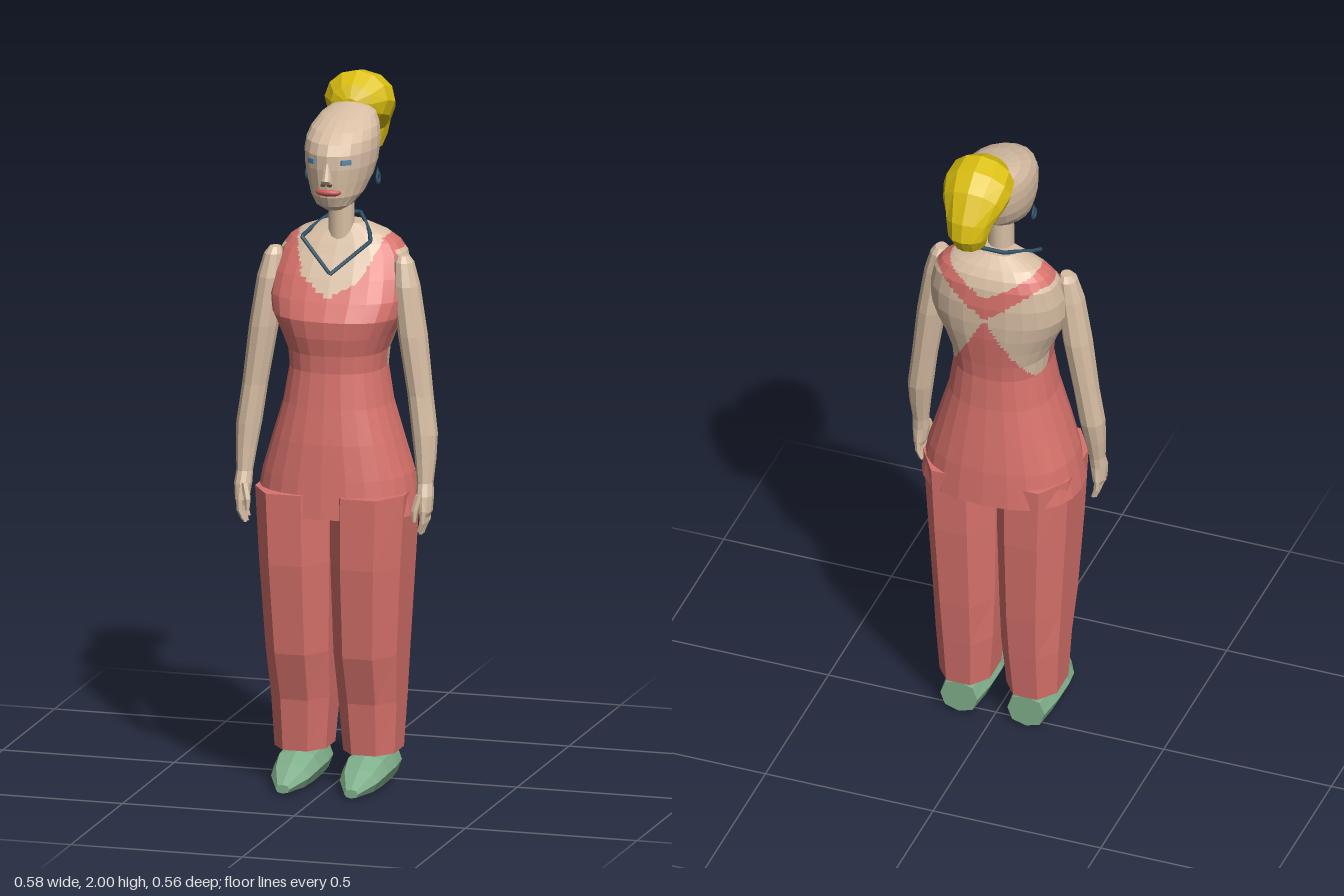
import * as THREE from 'three';

const mat = (name, color) => {
  const m = new THREE.MeshStandardMaterial({ color });
  m.name = name;
  return m;
};

// Lofts a faceted skin through rings [centreX, halfWidth, frontZ, frontY, backZ, backY].
// power < 1 squares the section; sub splits facets so pick(point) can colour them.
function loft(rings, { n = 12, power = 1, offset = 0, sub = 1, pick = () => 0 } = {}) {
  const shape = (v) => Math.sign(v) * Math.abs(v) ** power;
  const fit = shape(Math.cos((2 * Math.PI * offset) / n));
  const corners = rings.map(([cx, w, fz, fy, bz, by]) => {
    const row = [];
    for (let i = 0; i <= n; i++) {
      const a = (2 * Math.PI * ((i % n) + offset)) / n;
      const c = shape(Math.cos(a)) / fit, s = shape(Math.sin(a)) / fit;
      row.push(new THREE.Vector3(cx + w * s, (fy + by + c * (fy - by)) / 2, (fz + bz + c * (fz - bz)) / 2));
    }
    return row;
  });
  const point = (u, v) => {
    const i = Math.min(Math.floor(u), n - 1), j = Math.min(Math.floor(v), rings.length - 2);
    const low = corners[j][i].clone().lerp(corners[j][i + 1], u - i);
    const high = corners[j + 1][i].clone().lerp(corners[j + 1][i + 1], u - i);
    return low.lerp(high, v - j);
  };
  const tris = [];
  const U = n * sub, V = (rings.length - 1) * sub;
  for (let j = 0; j < V; j++) {
    for (let i = 0; i < U; i++) {
      const a = point(i / sub, j / sub), b = point((i + 1) / sub, j / sub);
      const c = point((i + 1) / sub, (j + 1) / sub), d = point(i / sub, (j + 1) / sub);
      tris.push([a, b, c], [a, c, d]);
    }
  }
  // end caps
  [corners[0], corners[rings.length - 1]].forEach((row, end) => {
    const mid = new THREE.Vector3();
    for (let i = 0; i < n; i++) mid.addScaledVector(row[i], 1 / n);
    for (let i = 0; i < n; i++) tris.push(end ? [row[i], row[i + 1], mid] : [row[i + 1], row[i], mid]);
  });
  // turn all faces outward
  let volume = 0;
  const q = new THREE.Vector3();
  for (const [a, b, c] of tris) volume += a.dot(q.crossVectors(b, c));
  const buckets = [[], []];
  for (const [a, b, c] of tris) {
    const mid = a.clone().add(b).add(c).divideScalar(3);
    const order = volume < 0 ? [a, c, b] : [a, b, c];
    for (const p of order) buckets[pick(mid)].push(p.x, p.y, p.z);
  }
  const geo = new THREE.BufferGeometry();
  geo.setAttribute('position', new THREE.Float32BufferAttribute(buckets.flat(), 3));
  geo.addGroup(0, buckets[0].length / 3, 0);
  geo.addGroup(buckets[0].length / 3, buckets[1].length / 3, 1);
  geo.computeVertexNormals();
  return geo;
}

// level ring helper: height, half width, front z, back z
const level = (y, w, f, b, x = 0) => [x, w, f, y, b, y];

// Where the halter top leaves the skin bare (1) or covers it (0)
function topPattern({ x, y, z }) {
  const ax = Math.abs(x);
  if (y < 1.2) return 0;
  if (z > 0.05) {
    const neckline = ax < 0.085 ? 1.41 + 0.6 * ax : 1.46 + (ax - 0.085) * 2.4;
    return y > neckline ? 1 : 0;
  }
  const lowerBack = Math.max(1.2, 1.42 - 1.8 * ax);
  const strapLow = Math.min(1.53, 1.42 + 0.75 * ax);
  const strapHigh = 1.49 + 0.6 * ax;
  return (y > lowerBack && y < strapLow) || y > strapHigh ? 1 : 0;
}

export function createModel() {
  const skin = mat('skin', 0xd8bea4), cloth = mat('coral cloth', 0xd8726c);
  const hair = mat('blonde hair', 0xdcc010), shoe = mat('green shoe', 0x80b08c);
  const jewel = mat('blue jewellery', 0x2f5268), lip = mat('lips', 0xc75a58);
  const iris = mat('blue eye', 0x5c86a8), dark = mat('nostril', 0x5c4336);
  const model = new THREE.Group();
  model.name = 'woman';
  const add = (name, geo, material) => {
    const mesh = new THREE.Mesh(geo, material);
    mesh.name = name;
    model.add(mesh);
    return mesh;
  };

  // torso and tunic
  add('torso', loft([
    level(0.79, 0.232, 0.243, -0.111), level(0.9, 0.212, 0.235, -0.104), level(1.0, 0.182, 0.227, -0.092),
    level(1.1, 0.152, 0.213, -0.08), level(1.2, 0.135, 0.2, -0.075), level(1.25, 0.14, 0.202, -0.08),
    level(1.3, 0.16, 0.212, -0.087), level(1.35, 0.185, 0.215, -0.094), level(1.4, 0.199, 0.188, -0.098),
    level(1.46, 0.195, 0.15, -0.099), level(1.52, 0.18, 0.105, -0.092), level(1.55, 0.158, 0.085, -0.08),
    level(1.573, 0.125, 0.068, -0.062), level(1.6, 0.06, 0.05, -0.03),
  ], { n: 24, power: 0.84, sub: 5, pick: topPattern }), [cloth, skin]);

  // neck and head
  const neck = add('neck', new THREE.CylinderGeometry(0.036, 0.038, 0.2, 12), skin);
  neck.position.set(0, 1.63, 0.041);
  add('head', loft([
    level(1.656, 0.025, 0.14, 0.085), level(1.672, 0.052, 0.165, 0.045), level(1.7, 0.073, 0.178, -0.025),
    level(1.74, 0.088, 0.182, -0.08), level(1.78, 0.098, 0.185, -0.105), level(1.82, 0.101, 0.184, -0.12),
    level(1.85, 0.099, 0.168, -0.125), level(1.875, 0.092, 0.13, -0.125), level(1.9, 0.076, 0.07, -0.122),
    level(1.917, 0.052, 0.01, -0.112), level(1.927, 0.02, -0.035, -0.09),
  ], { n: 20 }), [skin, skin]);

  // nose and mouth
  add('nose', loft([
    level(1.8, 0.006, 0.187, 0.165), level(1.753, 0.015, 0.207, 0.165), level(1.74, 0.018, 0.192, 0.165),
  ], { n: 8 }), [skin, skin]);
  const mouth = add('lips', new THREE.SphereGeometry(1, 12, 8), lip);
  mouth.scale.set(0.038, 0.012, 0.019);
  mouth.position.set(0, 1.715, 0.168);

  // bun with hanging tail
  add('hair', loft([
    [0, 0.02, -0.04, 1.935, -0.04, 1.905], [0, 0.062, -0.06, 1.97, -0.055, 1.87],
    [0, 0.092, -0.115, 2.0, -0.085, 1.845], [0, 0.1, -0.175, 1.987, -0.122, 1.832],
    [0, 0.088, -0.225, 1.945, -0.15, 1.82], [0, 0.066, -0.27, 1.865, -0.158, 1.808],
    [0, 0.057, -0.281, 1.81, -0.157, 1.79], [0, 0.045, -0.255, 1.765, -0.155, 1.765],
    [0, 0.02, -0.215, 1.74, -0.175, 1.745],
  ], { n: 12 }), [hair, hair]);

  // necklace
  const half = [[0.1, 1.563, 0.092], [0.085, 1.58, 0.05], [0.06, 1.6, 0.01], [0.035, 1.615, -0.028]];
  const stops = [[0, 1.475, 0.152], ...half, ...half.slice().reverse().map(([x, y, z]) => [-x, y, z])]
    .map((p) => new THREE.Vector3(...p));
  const chain = new THREE.CurvePath();
  stops.forEach((p, i) => chain.add(new THREE.LineCurve3(p, stops[(i + 1) % stops.length])));
  add('necklace', new THREE.TubeGeometry(chain, 90, 0.006, 6, true), jewel);

  for (const s of [1, -1]) {
    const side = s > 0 ? 'left' : 'right';

    // eye, nostril and earring
    const eye = add(side + 'Eye', new THREE.BoxGeometry(0.03, 0.014, 0.008), iris);
    eye.position.set(0.05 * s, 1.802, 0.165);
    eye.rotation.y = 0.7 * s;
    const nostril = add(side + 'Nostril', new THREE.BoxGeometry(0.011, 0.006, 0.012), dark);
    nostril.position.set(0.009 * s, 1.739, 0.188);
    const ring = add(side + 'Earring', new THREE.TorusGeometry(0.014, 0.004, 6, 14), jewel);
    ring.rotation.y = Math.PI / 2;
    ring.position.set(0.103 * s, 1.73, 0.028);
    const hook = add(side + 'EarringHook', new THREE.ConeGeometry(0.007, 0.022, 6), jewel);
    hook.position.set(0.102 * s, 1.752, 0.028);

    // arm and palm
    add(side + 'Arm', loft([
      level(1.523, 0.016, 0.08, 0.042, 0.187 * s), level(1.505, 0.027, 0.096, 0.03, 0.19 * s),
      level(1.44, 0.038, 0.112, 0.024, 0.198 * s), level(1.3, 0.041, 0.12, 0.021, 0.217 * s),
      level(1.13, 0.036, 0.117, 0.035, 0.241 * s), level(1.02, 0.036, 0.124, 0.043, 0.256 * s),
      level(0.95, 0.03, 0.126, 0.06, 0.261 * s), level(0.885, 0.023, 0.13, 0.077, 0.263 * s),
      level(0.85, 0.025, 0.143, 0.082, 0.265 * s), level(0.805, 0.019, 0.15, 0.08, 0.267 * s),
      level(0.79, 0.012, 0.148, 0.084, 0.266 * s),
    ], { n: 10 }), [skin, skin]);

    // fingers and thumb
    for (let i = 0; i < 4; i++) {
      const z = 0.09 + i * 0.0175, tip = 0.75 - 0.012 * Math.sin((i / 3) * Math.PI);
      add(side + 'Finger', loft([
        level(0.81, 0.009, z + 0.009, z - 0.009, 0.268 * s), level(0.775, 0.009, z + 0.008, z - 0.008, 0.266 * s),
        level(tip, 0.006, z + 0.004, z - 0.006, 0.256 * s),
      ], { n: 6 }), [skin, skin]);
    }
    add(side + 'Thumb', loft([
      level(0.855, 0.011, 0.145, 0.12, 0.255 * s), level(0.81, 0.01, 0.153, 0.133, 0.244 * s),
      level(0.778, 0.006, 0.151, 0.139, 0.243 * s),
    ], { n: 6 }), [skin, skin]);

    // trouser leg
    add(side + 'TrouserLeg', loft([
      level(0.1, 0.075, 0.16, -0.035, 0.1 * s), level(0.25, 0.085, 0.175, -0.053, 0.098 * s),
      level(0.39, 0.092, 0.217, -0.068, 0.099 * s), level(0.65, 0.102, 0.242, -0.084, 0.104 * s),
      level(0.855, 0.108, 0.245, -0.09, 0.109 * s),
    ], { n: 8, offset: 0.5, power: 0.85 }), [cloth, cloth]);

    // pointed shoe, lofted from heel to toe
    add(side + 'Shoe', loft([
      [0.1 * s, 0.055, -0.03, 0.1, -0.03, 0], [0.1 * s, 0.066, 0.05, 0.102, 0.05, 0],
      [0.1 * s, 0.067, 0.14, 0.098, 0.14, 0], [0.1 * s, 0.056, 0.205, 0.072, 0.205, 0],
      [0.1 * s, 0.02, 0.28, 0.03, 0.28, 0.005],
    ], { n: 8, power: 0.85 }), [shoe, shoe]);
  }
  return model;
}
